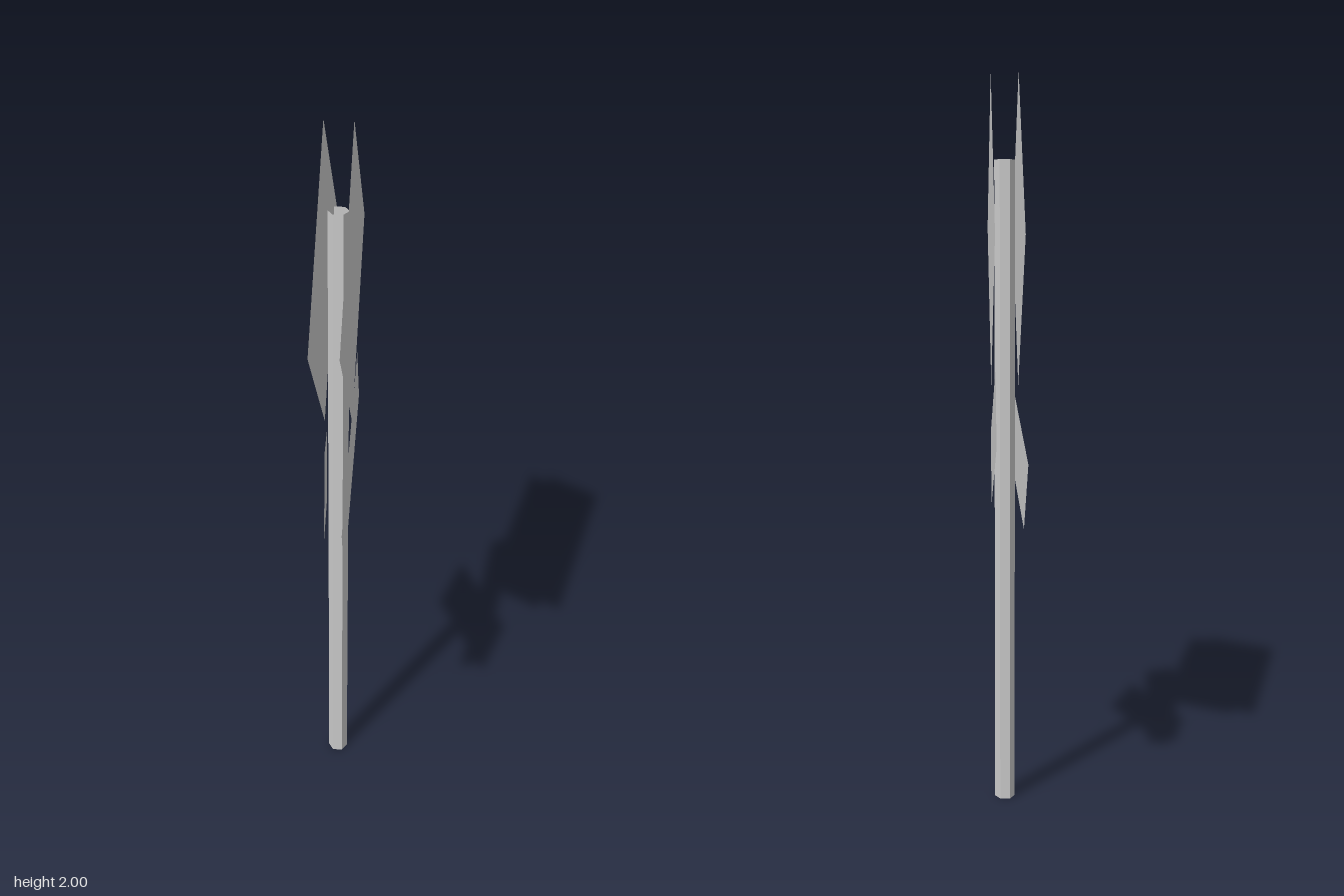
import * as THREE from 'three';

const material = new THREE.MeshStandardMaterial({ color: 0xcccccc, flatShading: true, side: THREE.DoubleSide });

// Thin sheet facing +x; a positive tilt raises its -z end
function sheet(name, length, height, tilt, x, y, z, yaw = 0) {
  const geometry = new THREE.PlaneGeometry(length, height).rotateZ(tilt).rotateY(Math.PI / 2);
  const mesh = new THREE.Mesh(geometry, material);
  mesh.name = name;
  mesh.position.set(x, y, z);
  mesh.rotation.y = yaw;
  return mesh;
}

export function createModel() {
  const model = new THREE.Group();
  model.name = 'signPost';

  // Hexagonal post, open at both ends
  const postHeight = 1.77;
  const postX = 0.0075;
  const post = new THREE.Mesh(
    new THREE.CylinderGeometry(0.0275, 0.0275, postHeight, 6, 1, true).rotateY(Math.PI / 6),
    material
  );
  post.name = 'post';
  post.position.set(postX, postHeight / 2, 0);
  model.add(post);

  // Diamond panels on both sides of the post
  const diamondSide = 0.83 / Math.SQRT2;
  for (const [side, name] of [[1, 'leftDiamondSign'], [-1, 'rightDiamondSign']]) {
    model.add(sheet(name, diamondSide, diamondSide, Math.PI / 4, postX + side * 0.0365, 1.585, 0));
  }

  // Crossed planks; the right one is slightly twisted around the post
  const tilt = 0.44;
  model.add(sheet('leftPlank', 0.585, 0.21, tilt, 0.039, 1.026, -0.03));
  model.add(sheet('rightPlank', 0.585, 0.21, -tilt, -0.021, 1.026, 0.067, 0.078));

  return model;
}
